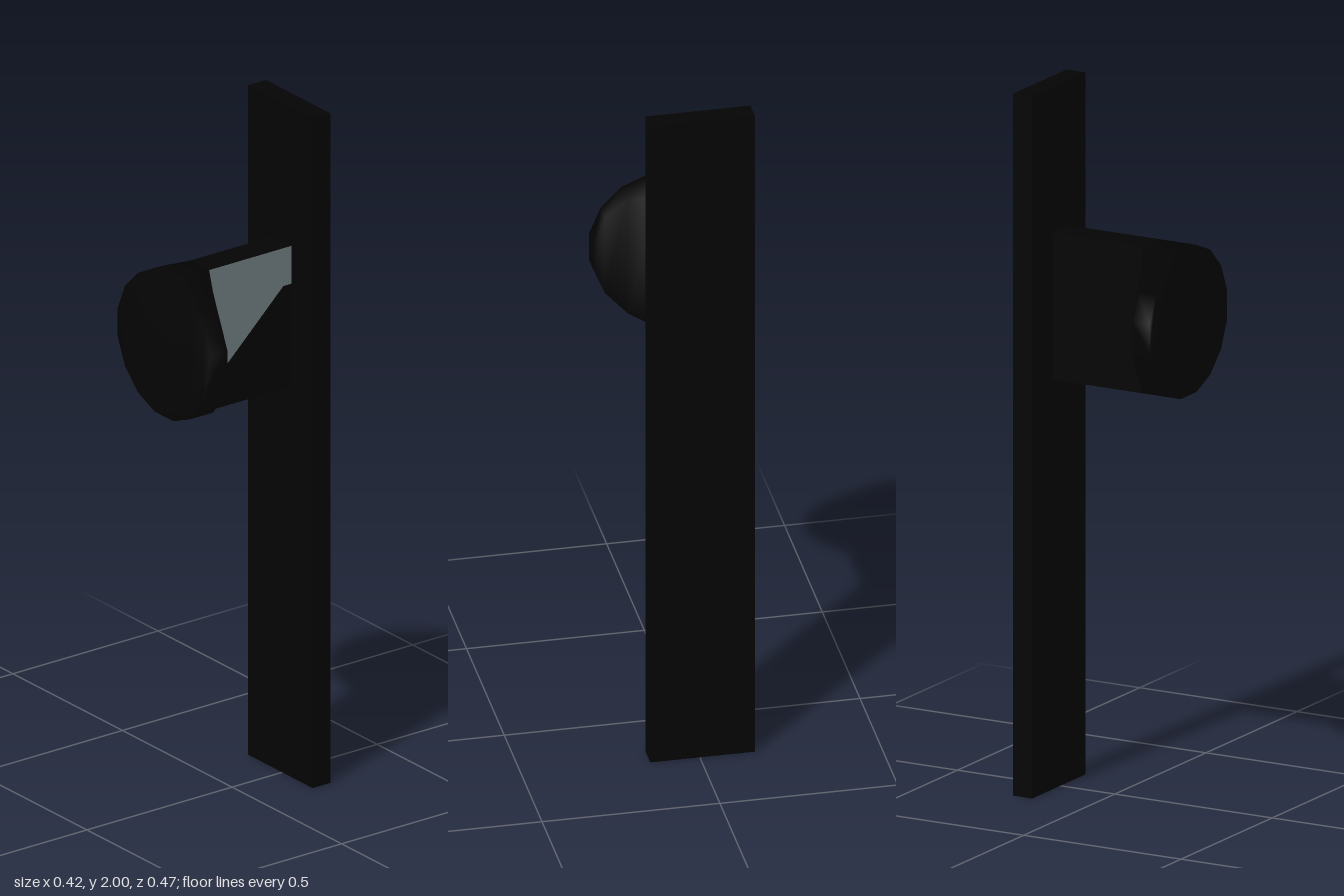
import * as THREE from 'three';
import { mergeVertices } from 'three/addons/utils/BufferGeometryUtils.js';

const black = new THREE.MeshStandardMaterial({ color: 0x040404 });
black.name = 'black';
const grey = new THREE.MeshStandardMaterial({ color: 0x717d82 });
grey.name = 'slateGrey';

const KNOB_Y = 1.377;   // height of the knob axis
const HALF_H = 0.21;    // half height of knob and web
const HALF_W = 0.0425;  // half width of the web
const FRONT_Z = 0.234;  // front face of the knob
const NECK_Z = 0.111;   // where the knob meets the web
const PLATE_Z = -0.173; // front face of the back plate
const BACK_Z = -0.234;  // rear face of the back plate
const TOP = KNOB_Y + HALF_H;
const BOTTOM = KNOB_Y - HALF_H;

function quadGeometry(quads) {
  const positions = quads.flatMap(([a, b, c, d]) => [a, b, c, a, c, d].flat());
  const g = new THREE.BufferGeometry();
  g.setAttribute('position', new THREE.Float32BufferAttribute(positions, 3));
  return g;
}

function addMesh(group, name, geometry, material) {
  const mesh = new THREE.Mesh(geometry, material);
  mesh.name = name;
  group.add(mesh);
}

// Sixteen-sided knob: columns across x, each with a half height and a rear depth
function knobGeometry() {
  const half = [
    [HALF_W, HALF_H, NECK_Z],
    [0.12, 0.178, 0.155],
    [0.179, 0.119, 0.1755],
    [0.212, 0.042, 0.1755],
  ];
  const columns = [...half.map(([x, h, z]) => [-x, h, z]).reverse(), ...half];
  const rings = columns.map(([x, h, z]) => [
    [x, KNOB_Y - h, FRONT_Z], // front bottom
    [x, KNOB_Y + h, FRONT_Z], // front top
    [x, KNOB_Y + h, z],       // rear top
    [x, KNOB_Y - h, z],       // rear bottom
  ]);
  const quads = [];
  for (let i = 0; i < rings.length - 1; i++) {
    const p = rings[i], q = rings[i + 1];
    for (let k = 0; k < 4; k++) {
      if (i === 3 && k === 2) continue; // the web leaves here
      const n = (k + 1) % 4;
      quads.push([p[k], q[k], q[n], p[n]]);
    }
  }
  // Close both ends
  const l = rings[0], r = rings[rings.length - 1];
  quads.push(l, [r[0], r[3], r[2], r[1]]);

  // Shared corners give the softly shaded, rounded look
  const g = mergeVertices(quadGeometry(quads));
  g.computeVertexNormals();
  return g;
}

// Top, bottom and right-hand faces of the web
function webGeometry() {
  const [l, r] = [-HALF_W, HALF_W].map((x) => [
    [x, BOTTOM, NECK_Z],
    [x, TOP, NECK_Z],
    [x, TOP, PLATE_Z],
    [x, BOTTOM, PLATE_Z],
  ]);
  const g = quadGeometry([
    [l[1], r[1], r[2], l[2]],
    [l[3], r[3], r[0], l[0]],
    l,
  ]);
  g.computeVertexNormals();
  return g;
}

// Flat face on the left of the web, outlined by [z, y] corners
function sideGeometry(outline) {
  const shape = new THREE.Shape(outline.map(([z, y]) => new THREE.Vector2(-z, y)));
  return new THREE.ShapeGeometry(shape).rotateY(Math.PI / 2).translate(HALF_W, 0, 0);
}

export function createModel() {
  const group = new THREE.Group();
  group.name = 'knobOnPlate';

  // Tall back plate
  const plate = new THREE.BoxGeometry(0.294, 2, PLATE_Z - BACK_Z);
  plate.translate(-0.008, 1, (PLATE_Z + BACK_Z) / 2);
  addMesh(group, 'backPlate', plate, black);

  addMesh(group, 'knob', knobGeometry(), black);
  addMesh(group, 'web', webGeometry(), black);

  // Left web face, divided by a diagonal line into grey above and black below
  const divide = [[NECK_Z, 1.232], [-0.145, 1.474], [PLATE_Z, 1.474]];
  addMesh(group, 'greySidePanel', sideGeometry([[NECK_Z, TOP], ...divide, [PLATE_Z, TOP]]), grey);
  addMesh(group, 'blackSidePanel', sideGeometry([[NECK_Z, BOTTOM], ...divide, [PLATE_Z, BOTTOM]]), black);

  return group;
}
